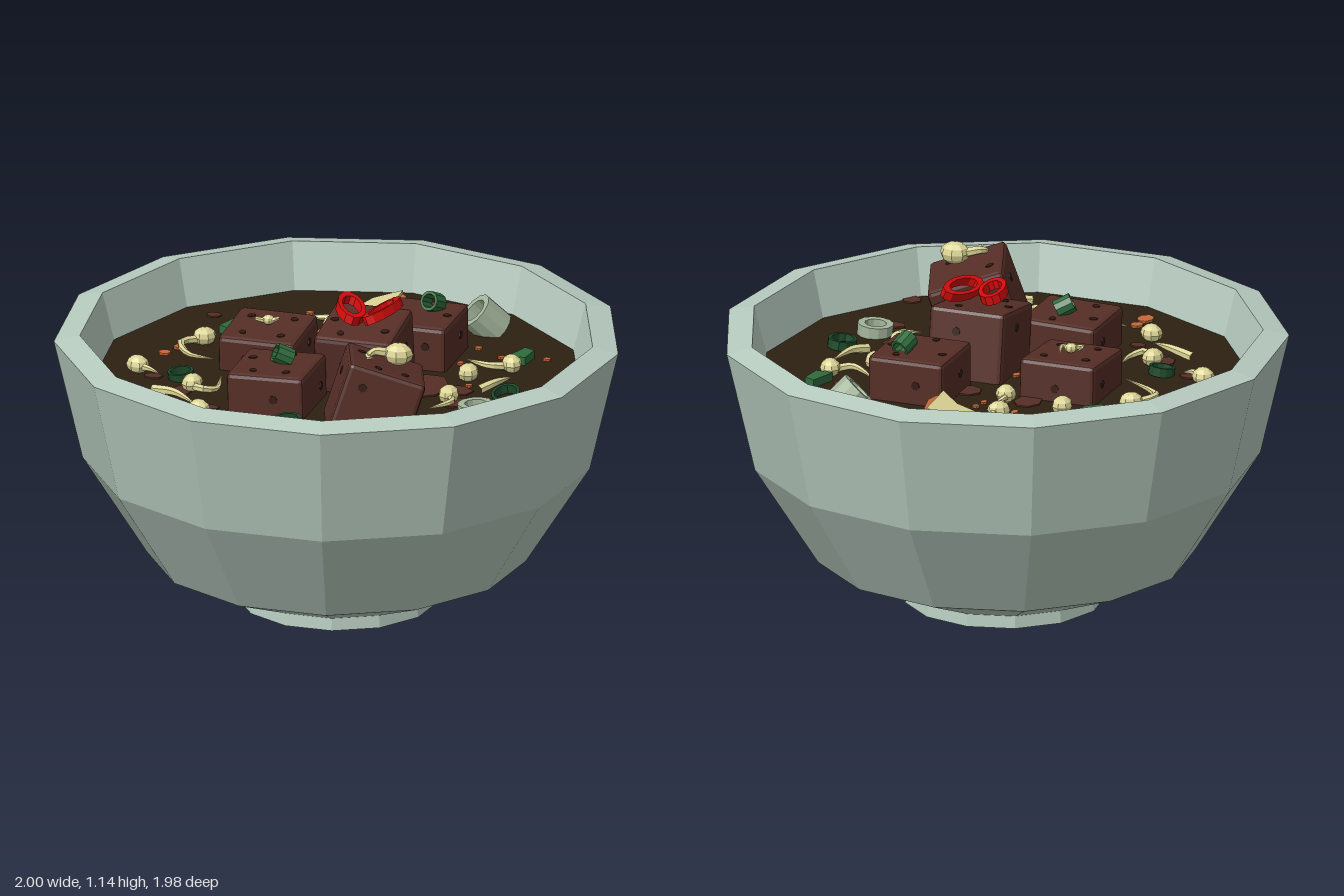
import * as THREE from 'three';
import { RoundedBoxGeometry } from 'three/addons/geometries/RoundedBoxGeometry.js';

const mat = (name, color, side = THREE.FrontSide) => {
  const m = new THREE.MeshStandardMaterial({ color, flatShading: true, side });
  m.name = name;
  return m;
};

export function createModel() {
  const celadon = mat('celadon', 0xb7cbbf);
  const broth = mat('broth', 0x2c2010);
  const curd = mat('curd', 0x562e26);
  const pore = mat('pore', 0x351c15);
  const chilli = mat('chilli', 0xd40c0c);
  const cream = mat('cream', 0xdcd596);
  const green = mat('leaf green', 0x2f6b3c);
  const darkGreen = mat('dark green', 0x1d4a2a);
  const paleGreen = mat('pale green', 0xa3b59a);
  const orange = mat('orange', 0xc4693a);

  const root = new THREE.Group();
  const SOUP = 0.83;
  const add = (name, geo, material, pos = [0, 0, 0], rot = [0, 0, 0], scale = [1, 1, 1], parent = root) => {
    const m = new THREE.Mesh(geo, material);
    m.name = name;
    m.position.set(...pos);
    m.rotation.set(...rot);
    m.scale.set(...scale);
    parent.add(m);
    return m;
  };
  let seed = 7;
  const rand = () => (seed = (seed * 16807) % 2147483647) / 2147483647;

  // Thirteen-sided bowl with a hollow foot, plus the broth surface
  const profile = [[0, 0.04], [0.305, 0.04], [0.31, 0], [0.36, 0], [0.355, 0.045], [0.675, 0.175], [0.905, 0.54],
    [1.007, 0.98], [0.915, 1.0], [0.87, SOUP], [0.85, 0.77]].map(p => new THREE.Vector2(...p));
  add('bowl', new THREE.LatheGeometry(profile, 13, Math.PI), celadon, [0, 0, 0.012]);
  add('broth', new THREE.CircleGeometry(0.872, 13, Math.PI / 2), broth, [0, SOUP, 0.012], [-Math.PI / 2, 0, 0]);

  // Curd blocks: top centre, tilt
  const blockGeo = new RoundedBoxGeometry(0.285, 0.28, 0.285, 1, 0.016);
  const poreGeo = new THREE.CylinderGeometry(0.016, 0.016, 0.006, 7);
  const blocks = [
    [[0.21, 0.99, -0.27], [0, 0, 0]],
    [[-0.28, 0.965, -0.05], [0.06, 0, 0]],
    [[-0.13, 0.975, 0.33], [0, 0, 0.03]],
    [[0.11, 1.06, 0.07], [0.15, 0, 0]],
    [[0.31, 1.055, 0.42], [-0.08, 0.34, -0.3]],
  ];
  for (const [pos, rot] of blocks) {
    const block = new THREE.Group();
    block.name = 'curdBlock';
    block.position.set(...pos);
    block.rotation.set(...rot);
    root.add(block);
    add('block', blockGeo, curd, [0, -0.14, 0], [0, 0, 0], [1, 1, 1], block);
    for (let i = 0; i < 4; i++) {
      const a = i * Math.PI / 2 + rand();
      add('pore', poreGeo, pore, [Math.cos(a) * 0.105, 0, Math.sin(a) * 0.105], [0, a, 0], [1, 1, 0.8], block);
      const side = [Math.sin(i * Math.PI / 2), Math.cos(i * Math.PI / 2)];
      const off = (rand() - 0.5) * 0.16;
      add('sidePore', poreGeo, pore,
        [side[0] * 0.142 + side[1] * off, -0.06 - rand() * 0.04, side[1] * 0.142 - side[0] * off],
        [Math.PI / 2 * side[1], 0, Math.PI / 2 * side[0]], [1, 1, 1], block);
    }
  }

  // Hollow sliced ring of unit radius
  const ringGeo = (inner, height, sides = 12) => new THREE.LatheGeometry(
    [[inner, -height], [1, -height], [1, height], [inner, height], [inner, -height]].map(p => new THREE.Vector2(...p)), sides);

  // Chilli slices leaning on the middle block
  const chilliGeo = ringGeo(0.68, 0.32);
  add('chilliRing', chilliGeo, chilli, [0.065, 1.11, 0.07], [0.05, 0.36, -0.3], [0.052, 0.05, 0.115]);
  add('chilliRing', chilliGeo, chilli, [0.18, 1.11, 0.06], [0.05, -0.25, 0.4], [0.047, 0.05, 0.108]);

  // Spring onion: rings on the broth, short tubes on the blocks, thick pale stem
  const thinRing = ringGeo(0.78, 0.3);
  for (const [x, z, rx, rz] of [[-0.52, 0.21, 0.047, 0.042], [-0.02, 0.56, 0.057, 0.052], [0.64, 0.07, 0.052, 0.07]])
    add('onionRing', thinRing, darkGreen, [x, SOUP + 0.015, z], [0.1, 0.2, 0.1], [rx, 0.055, rz]);
  add('paleOnionRing', ringGeo(0.6, 0.35), paleGreen, [0.58, SOUP + 0.02, 0.235], [0, 0, 0.06], [0.065, 0.06, 0.062]);
  add('onionStem', ringGeo(0.65, 0.8), paleGreen, [0.365, SOUP + 0.045, -0.565], [0.5, 0, 0.65], [0.07, 0.07, 0.07]);
  const tubeGeo = ringGeo(0.72, 0.8, 10);
  add('onionTube', tubeGeo, green, [-0.11, 1.0, 0.31], [0.3, 0.3, 1.0], [0.036, 0.04, 0.036]);
  add('onionTube', tubeGeo, green, [0.25, 1.018, -0.315], [1.0, 0.4, 0.3], [0.036, 0.04, 0.036]);

  // Flat slab cut from an outline in x, z and standing on the broth
  const slab = (name, outline, height, material, y = SOUP) => {
    const shape = new THREE.Shape(outline.map(([x, z]) => new THREE.Vector2(x, -z)));
    const geo = new THREE.ExtrudeGeometry(shape, { depth: height, bevelEnabled: false });
    geo.rotateX(-Math.PI / 2);
    return add(name, geo, material, [0, y, 0]);
  };
  slab('leafPiece', [[-0.53, -0.27], [-0.48, -0.41], [-0.42, -0.36], [-0.42, -0.28], [-0.47, -0.24]], 0.03, green);
  slab('leafPiece', [[0.535, -0.28], [0.57, -0.38], [0.61, -0.36], [0.6, -0.28]], 0.03, green);

  // Ginger chunk with sloping flesh and a strip of rind
  const ginger = slab('gingerFlesh', [[-0.16, -0.5], [-0.08, -0.65], [0.03, -0.655], [0.04, -0.47], [-0.03, -0.515]], 0.07, cream);
  const gp = ginger.geometry.attributes.position;
  for (let i = 0; i < gp.count; i++) if (gp.getY(i) > 0.05) gp.setY(i, 0.02 + (gp.getX(i) + 0.16) * 0.35);
  slab('gingerRind', [[0.03, -0.65], [0.05, -0.63], [0.07, -0.54], [0.06, -0.49], [0.04, -0.47]], 0.075, orange);

  // Bean sprouts: ribbed head and tapering tail
  const headGeo = new THREE.SphereGeometry(1, 8, 6);
  const head = (x, y, z, turn, s = 0.037) => add('sproutHead', headGeo, cream, [x, y, z], [0, turn, 0], [s * 1.2, s * 0.9, s]);
  const tail = (points, y, r = 0.017) => {
    const curve = new THREE.CatmullRomCurve3(points.map(([x, z], i) => new THREE.Vector3(x, y + (i % 2) * 0.01, z)));
    const geo = new THREE.TubeGeometry(curve, 9, r, 6);
    const p = geo.attributes.position, v = new THREE.Vector3();
    for (let i = 0; i < p.count; i++) {
      const t = geo.attributes.uv.getX(i);
      v.fromBufferAttribute(p, i).lerp(curve.getPointAt(t), 0.1 + 0.8 * t * t);
      p.setXYZ(i, v.x, v.y, v.z);
    }
    geo.computeVertexNormals();
    add('sproutTail', geo, cream);
  };
  const sprouts = [
    [[-0.15, -0.42], [-0.15, -0.48], [-0.22, -0.49], [-0.3, -0.46]],
    [[-0.34, -0.29]],
    [[-0.11, -0.25], [-0.12, -0.3], [-0.1, -0.32]],
    [[-0.55, -0.16], [-0.61, -0.08], [-0.56, 0], [-0.45, 0.05]],
    [[-0.69, 0.18], [-0.64, 0.21], [-0.6, 0.22]],
    [[-0.45, 0.3], [-0.4, 0.35], [-0.36, 0.31], [-0.37, 0.21]],
    [[-0.35, 0.54]],
    [[-0.13, 0.65], [-0.17, 0.59], [-0.23, 0.6]],
    [[0.08, 0.66], [0.14, 0.62], [0.15, 0.57], [0.12, 0.52]],
    [[0.45, 0.14], [0.48, 0.21], [0.42, 0.27]],
    [[0.45, -0.09]],
    [[0.57, -0.22], [0.5, -0.18], [0.4, -0.24]],
  ];
  for (const path of sprouts) {
    head(...[path[0][0], SOUP + 0.025, path[0][1]], rand() * 3);
    if (path.length > 1) tail(path, SOUP + 0.015);
  }
  for (const path of [[[-0.57, 0.38], [-0.48, 0.41], [-0.39, 0.47]], [[0.18, 0.73], [0.26, 0.68], [0.35, 0.67]],
    [[0.53, 0.04], [0.57, -0.02], [0.6, -0.11]]]) tail(path, SOUP + 0.015, 0.02);

  // Sprouts resting on blocks
  head(0.355, 1.1, 0.43, 0.1, 0.045);
  tail([[0.33, 0.43], [0.27, 0.46], [0.26, 0.49], [0.29, 0.52]], 1.1, 0.02);
  head(-0.28, 0.985, -0.055, 0.4, 0.02);
  tail([[-0.28, -0.05], [-0.25, -0.06], [-0.26, -0.11]], 0.98, 0.011);
  tail([[-0.28, -0.05], [-0.32, -0.04], [-0.31, -0.07]], 0.98, 0.011);

  // Floating flecks: x, z, half width, half depth
  const fleckGeo = new THREE.CylinderGeometry(1, 1, 0.008, 7);
  const fleck = (name, material, y, list) => {
    for (const [x, z, rx, rz] of list) add(name, fleckGeo, material, [x, y, z], [0, 0, 0], [rx, 1, rz]);
  };
  fleck('orangeFleck', orange, SOUP + 0.005, [
    [-0.28, -0.545, 0.016, 0.013], [-0.28, -0.41, 0.013, 0.011], [-0.04, -0.36, 0.014, 0.012], [-0.05, -0.31, 0.012, 0.016],
    [0.395, -0.385, 0.014, 0.014], [0.5, -0.32, 0.013, 0.011], [0.66, -0.35, 0.015, 0.012], [0.475, -0.015, 0.013, 0.013],
    [-0.25, 0.65, 0.023, 0.025], [-0.255, 0.72, 0.03, 0.038], [-0.65, -0.01, 0.022, 0.022], [-0.62, -0.08, 0.018, 0.022],
    [-0.05, 0, 0.013, 0.02], [-0.19, -0.37, 0.012, 0.022], [-0.12, -0.27, 0.012, 0.02], [0.38, -0.22, 0.012, 0.015]]);
  fleck('oilPatch', curd, SOUP + 0.001, [
    [-0.19, -0.24, 0.05, 0.06], [-0.145, -0.44, 0.028, 0.028], [0.33, 0.03, 0.08, 0.12], [0.43, 0.04, 0.08, 0.05],
    [0.47, 0.16, 0.05, 0.05], [-0.62, 0.22, 0.035, 0.025], [0.56, 0.34, 0.055, 0.03], [0.59, 0.61, 0.035, 0.035],
    [0.07, 0.63, 0.03, 0.05], [-0.33, 0.46, 0.03, 0.022], [-0.09, 0.12, 0.08, 0.06], [-0.48, 0.33, 0.04, 0.05],
    [-0.6, -0.43, 0.028, 0.022], [0.05, -0.21, 0.05, 0.05]]);
  return root;
}
